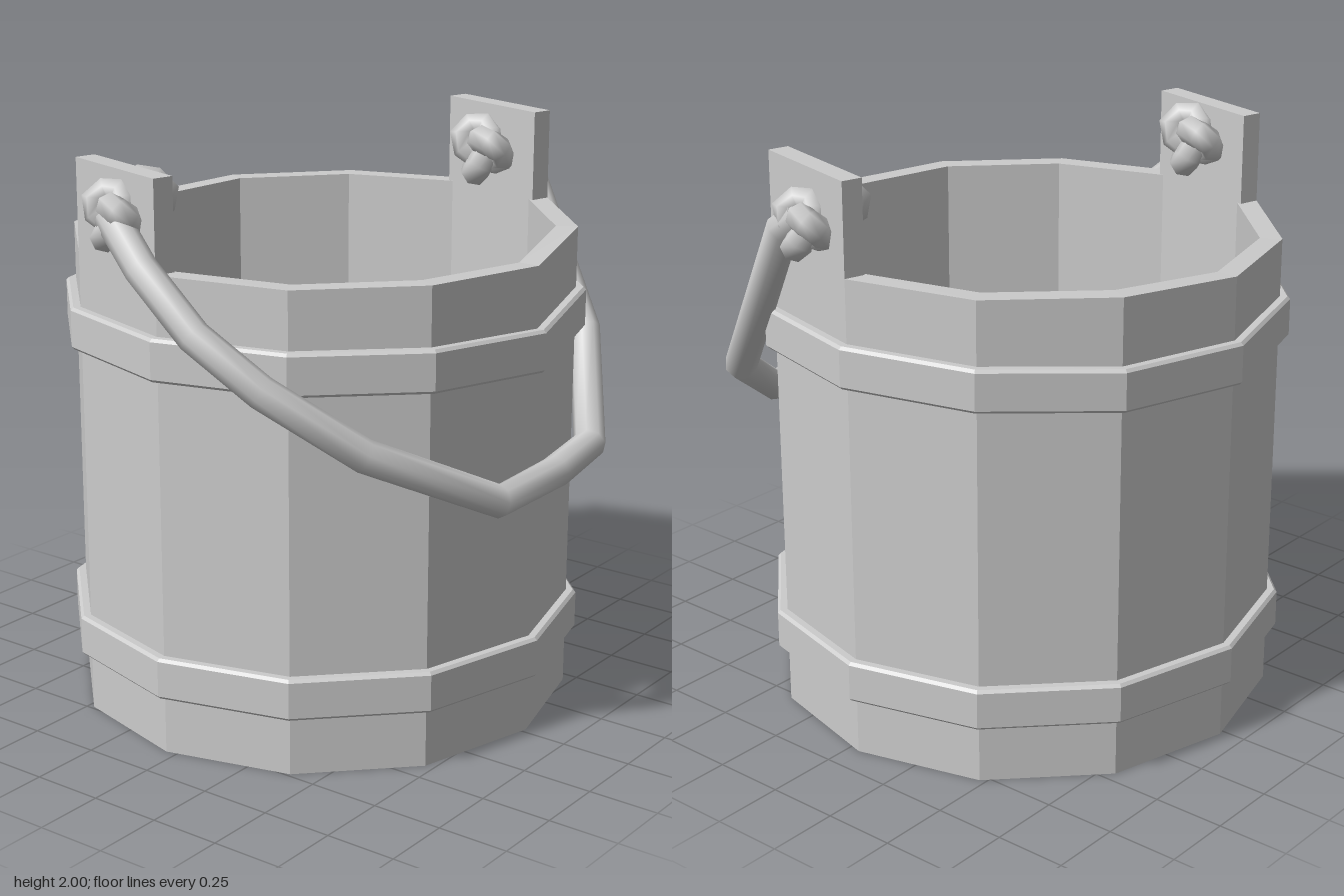
import * as THREE from 'three';

const SIDES = 12, CX = -0.04, CZ = -0.02;
const R_OUT = 0.875, R_IN = 0.8;
const APOTHEM = Math.cos(Math.PI / SIDES);
// hand-made unevenness, one height per corner, starting at +x and turning towards +z
const RIM = [1.64, 1.645, 1.645, 1.65, 1.645, 1.645, 1.65, 1.67, 1.675, 1.68, 1.68, 1.675];
const HOOP = [1.285, 1.3, 1.305, 1.305, 1.31, 1.3, 1.29, 1.3, 1.315, 1.32, 1.32, 1.32];

const material = new THREE.MeshStandardMaterial({ color: 0xcccccc, roughness: 0.8 });

function addMesh(parent, name, geometry) {
  const mesh = new THREE.Mesh(geometry, material);
  mesh.name = name;
  parent.add(mesh);
  return mesh;
}

const corner = (k, r, y) => {
  const a = (k / SIDES) * Math.PI * 2;
  return [r * Math.cos(a), y, r * Math.sin(a)];
};

// Twelve-sided ring swept from a closed [radius, height] section, given per corner
function ringGeometry(section) {
  const pos = [];
  for (let k = 0; k < SIDES; k++) {
    const s0 = section(k), s1 = section((k + 1) % SIDES);
    for (let i = 0; i < s0.length; i++) {
      const j = (i + 1) % s0.length;
      const a = corner(k, ...s0[i]), b = corner(k + 1, ...s1[i]);
      const c = corner(k + 1, ...s1[j]), d = corner(k, ...s0[j]);
      pos.push(...a, ...c, ...b, ...a, ...d, ...c);
    }
  }
  const g = new THREE.BufferGeometry();
  g.setAttribute('position', new THREE.Float32BufferAttribute(pos, 3));
  g.computeVertexNormals();
  return g;
}

// Hoop section with a small bevel on the outer edges
function hoopSection(y) {
  const top = y + 0.145, b = 0.01;
  return [[0.86, y], [0.9, y], [0.91, y + b], [0.91, top - b], [0.9, top], [0.86, top]];
}

// Floor board spanning two chords of the twelve-sided floor
function boardGeometry(corners) {
  const pts = corners.map((k) => {
    const [x, , z] = corner(k, R_IN + 0.004, 0);
    return new THREE.Vector2(x, -z);
  });
  const mid = pts.reduce((m, p) => m.add(p), new THREE.Vector2()).divideScalar(4);
  pts.forEach((p) => p.lerp(mid, 0.006));
  const g = new THREE.ExtrudeGeometry(new THREE.Shape(pts), { depth: 0.05, bevelEnabled: false });
  g.rotateX(-Math.PI / 2);
  g.translate(0, 0.12, 0);
  return g;
}

// Faceted rope: rings of the tube sit exactly on the sample points of the curve
function ropeGeometry(points, radius, segments, sides, closed) {
  const curve = new THREE.CatmullRomCurve3(points, closed, 'centripetal');
  curve.getPointAt = curve.getPoint;
  curve.getTangentAt = curve.getTangent;
  return new THREE.TubeGeometry(curve, segments, radius, sides, closed);
}

// Three-lobed knot lying in the xy plane
function knotGeometry(size, radius) {
  const pts = [];
  for (let i = 0; i < 18; i++) {
    const t = (i / 18) * Math.PI * 2;
    pts.push(new THREE.Vector3(
      size * (Math.sin(t) + 2 * Math.sin(2 * t)),
      size * (Math.cos(t) - 2 * Math.cos(2 * t)),
      -0.035 * Math.sin(3 * t)));
  }
  return ropeGeometry(pts, radius, 18, 7, true);
}

export function createModel() {
  const model = new THREE.Group();
  model.name = 'bucket';

  const tub = new THREE.Group();
  tub.name = 'tub';
  tub.position.set(CX, 0, CZ);
  model.add(tub);

  // staves and hoops
  addMesh(tub, 'staves', ringGeometry((k) => [[R_IN, 0], [R_OUT, 0], [R_OUT, RIM[k]], [R_IN, RIM[k]]]));
  addMesh(tub, 'lowerHoop', ringGeometry(() => hoopSection(0.205)));
  addMesh(tub, 'upperHoop', ringGeometry((k) => hoopSection(HOOP[k])));

  // raised floor of five boards
  for (let i = 0; i < 5; i++) {
    addMesh(tub, 'floorBoard', boardGeometry([2 - i, 3 + i, 4 + i, 1 - i]));
  }

  // two opposite ears, each with a knot on both faces
  const earWidth = 2 * R_OUT * Math.sin(Math.PI / SIDES);
  const earDepth = (R_OUT - R_IN) * APOTHEM;
  const ears = [['front', -Math.PI / 12, 1.96], ['back', Math.PI * 11 / 12, 1.995]];
  for (const [side, turn, top] of ears) {
    const ear = new THREE.Group();
    ear.name = side + 'Ear';
    ear.rotation.y = turn;
    tub.add(ear);

    const board = addMesh(ear, 'earBoard', new THREE.BoxGeometry(earWidth, top - 1.58, earDepth));
    board.position.set(0, (top + 1.58) / 2, R_OUT * APOTHEM - earDepth / 2);

    const inner = addMesh(ear, 'innerKnot', knotGeometry(0.031, 0.05));
    inner.position.set(0, 1.835, 0.73);
    inner.rotation.z = 0.4;

    const outer = addMesh(ear, 'outerKnot', knotGeometry(0.027, 0.048));
    outer.position.set(0.04, 1.815, 0.875);
    outer.rotation.z = -0.5;
  }

  // rope handle hanging down on the +x side
  const path = [
    [-0.22, 1.82, 0.86], [-0.05, 1.68, 0.91], [0.17, 1.5, 0.92], [0.38, 1.34, 0.85],
    [0.63, 1.13, 0.65], [0.87, 0.915, 0.24], [0.89, 0.935, -0.07], [0.85, 0.95, -0.36],
    [0.57, 1.22, -0.78], [0.23, 1.79, -0.89], [0.16, 1.84, -0.88],
  ].map((p) => new THREE.Vector3(...p));
  addMesh(model, 'ropeHandle', ropeGeometry(path, 0.056, path.length - 1, 8, false));

  return model;
}
